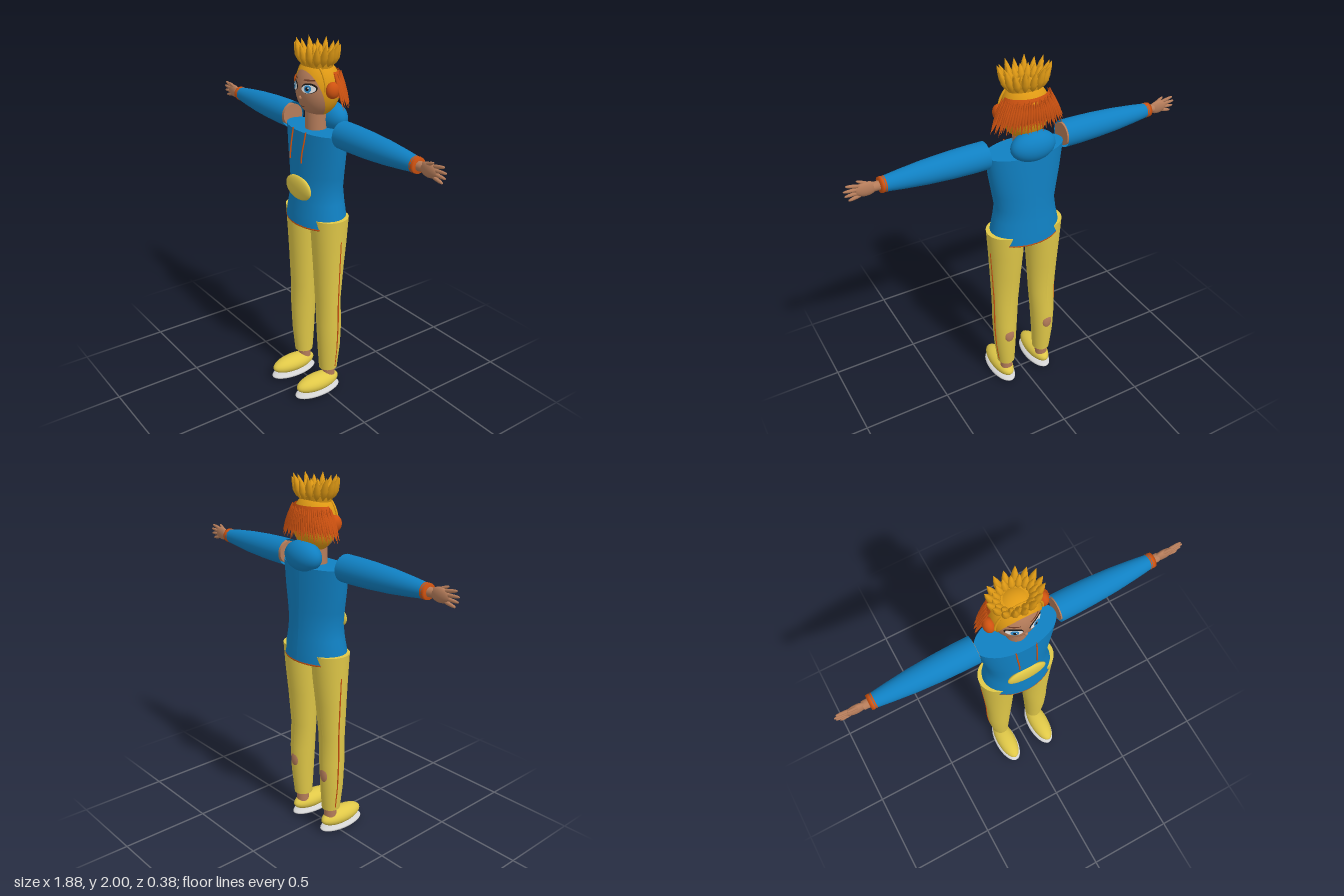
import * as THREE from 'three';

const mat = (name, color) => Object.assign(new THREE.MeshStandardMaterial({ color }), { name });
const V = (x, y, z) => new THREE.Vector3(x, y, z);
const UP = V(0, 1, 0);

export function createModel() {
  const blue = mat('hoodie blue', 0x1080c2);
  const yellow = mat('trouser yellow', 0xe0c848);
  const gold = mat('golden hair', 0xe09a14);
  const orange = mat('trim orange', 0xcf5210);
  const skin = mat('skin', 0xb57c5a);
  const white = mat('eye white', 0xf4f4f4);
  const grey = mat('sole grey', 0xd4d4d4);
  const black = mat('lash black', 0x1c1818);
  const iris = mat('iris blue', 0x2f8fd0);
  const brown = mat('brow brown', 0x6e3a24);
  const doubleOrange = orange;
  doubleOrange.side = THREE.DoubleSide;
  blue.side = THREE.DoubleSide;

  const model = new THREE.Group();
  model.name = 'figure';

  const add = (name, geo, material, pos) => {
    const m = new THREE.Mesh(geo, material);
    m.name = name;
    if (pos) m.position.copy(pos);
    model.add(m);
    return m;
  };
  const ellipsoid = (name, material, pos, rx, ry, rz) =>
    add(name, new THREE.SphereGeometry(1, 32, 20).scale(rx, ry, rz), material, pos);
  // Lathe of [radius, fraction] profile, stretched from point a to point b
  const between = (name, material, a, b, profile, sides = 8, flat = 1) => {
    const dir = b.clone().sub(a);
    const len = dir.length();
    const geo = new THREE.LatheGeometry(profile.map(([r, t]) => new THREE.Vector2(r, t * len)), sides);
    geo.scale(1, 1, flat);
    const m = add(name, geo, material, a);
    m.quaternion.setFromUnitVectors(UP, dir.normalize());
    return m;
  };
  const tube = (name, material, pts, r) =>
    add(name, new THREE.TubeGeometry(new THREE.CatmullRomCurve3(pts), 24, r, 6), material);
  // Capped elliptical loft through rings [y, cx, cz, rx, rz]
  const loft = (name, material, rings) => {
    const first = rings[0], last = rings[rings.length - 1];
    const rows = [first, first, ...rings, last, last];
    const prof = rows.map((r, i) => new THREE.Vector2(i === 0 || i === rows.length - 1 ? 0 : 1, r[0]));
    const geo = new THREE.LatheGeometry(prof, 40, Math.PI);
    const p = geo.attributes.position;
    for (let i = 0; i < p.count; i++) {
      const [, cx, cz, rx, rz] = rows[i % rows.length];
      p.setX(i, p.getX(i) * rx + cx);
      p.setZ(i, p.getZ(i) * rz + cz);
    }
    geo.computeVertexNormals();
    return add(name, geo, material);
  };

  // Hoodie body, hem, pocket, hood
  loft('hoodieBody', blue, [
    [1.045, 0, -0.035, 0.2, 0.139], [1.1, 0, -0.035, 0.193, 0.135], [1.17, 0, -0.036, 0.178, 0.127],
    [1.24, 0, -0.036, 0.168, 0.122], [1.32, 0, -0.036, 0.182, 0.119], [1.42, 0, -0.036, 0.2, 0.117],
    [1.55, 0, -0.036, 0.218, 0.113]]);
  const hem = add('hoodieHem', new THREE.TorusGeometry(1, 0.03, 6, 48).rotateX(Math.PI / 2)
    .scale(0.196, 0.2, 0.136), orange, V(0, 1.042, -0.035));
  hem.name = 'hoodieHem';
  ellipsoid('pocket', yellow, V(0, 1.243, 0.082), 0.11, 0.066, 0.022);
  ellipsoid('hood', blue, V(0, 1.6, -0.122), 0.122, 0.08, 0.07);

  // Neck and head
  add('neck', new THREE.CylinderGeometry(0.055, 0.055, 0.13, 24), skin, V(0, 1.6, -0.03));
  const H = { y: 1.76, z: -0.035, rx: 0.118, ry: 0.146, rz: 0.105 };
  ellipsoid('head', skin, V(0, H.y, H.z), H.rx, H.ry, H.rz);
  // Thin oval laid on the curved face
  const decal = (name, material, x, y, w, h, lift, tilt = 0) => {
    const geo = new THREE.CircleGeometry(1, 24).scale(w, h, 1).rotateZ(tilt).translate(x, y, 0);
    const p = geo.attributes.position;
    for (let i = 0; i < p.count; i++) {
      const q = 1 - (p.getX(i) / H.rx) ** 2 - ((p.getY(i) - H.y) / H.ry) ** 2;
      p.setZ(i, H.z + H.rz * Math.sqrt(Math.max(q, 0)) + lift);
    }
    geo.computeVertexNormals();
    return add(name, geo, material);
  };
  decal('mouth', brown, 0, 1.675, 0.016, 0.003, 0.003);
  ellipsoid('nose', skin, V(0, 1.722, 0.067), 0.009, 0.011, 0.009);

  // Hair cap: a partial ellipsoid whose opening frames the face
  add('hairCap', new THREE.SphereGeometry(1, 40, 24, 0, Math.PI * 2, 0, THREE.MathUtils.degToRad(116))
    .rotateX(-THREE.MathUtils.degToRad(65)).scale(0.126, 0.15, 0.113), gold, V(0, 1.765, -0.04));
  add('hairArch', new THREE.TorusGeometry(0.124, 0.006, 8, 40, Math.PI).scale(1, 1.1, 1), gold, V(0, 1.765, 0));

  // Crown of pointed tufts
  add('crownBase', new THREE.CylinderGeometry(0.098, 0.09, 0.03, 32).scale(1, 1, 0.8), gold, V(0, 1.885, -0.037));
  const petal = [[0, 0], [0.014, 0.2], [0.019, 0.45], [0.011, 0.75], [0, 1]];
  for (let ring = 0; ring < 2; ring++) {
    for (let i = 0; i < 16; i++) {
      const a = ((i + ring / 2) / 16) * Math.PI * 2, c = Math.cos(a), s = Math.sin(a);
      const rb = ring ? 0.07 : 0.088, rt = ring ? 0.105 : 0.138;
      const top = ring ? 1.965 : 1.985 + 0.013 * (i % 2);
      between('crownTuft', gold, V(c * rb, 1.875, -0.037 + s * rb * 0.8),
        V(c * rt, top, -0.037 + s * rt * 0.75), petal, 8);
    }
  }

  // Orange back hair: a curved sheet with a fringe of strands
  const sheet = [[0.115, 1.855], [0.132, 1.82], [0.14, 1.77], [0.152, 1.735]];
  add('backHairSheet', new THREE.LatheGeometry(sheet.map(([r, y]) => new THREE.Vector2(r, y)).reverse(),
    32, Math.PI / 2, Math.PI).scale(1, 1, 0.72), orange, V(0, 0, -0.05));
  const strand = [[0.003, 0], [0.009, 0.3], [0.008, 0.6], [0, 1]];
  for (let i = 0; i <= 36; i++) {
    const a = (i / 36) * Math.PI, c = Math.cos(a), s = Math.sin(a), j = (i * 7) % 5;
    between('backHairStrand', orange, V(c * 0.128, 1.85 - 0.004 * j, -0.05 - s * 0.095),
      V(c * 0.2, 1.678 + 0.007 * j, -0.056 - s * 0.108), strand, 6);
  }

  const legRings = [
    [0.15, 0.12, -0.033, 0.05, 0.053], [0.3, 0.125, -0.033, 0.063, 0.065], [0.45, 0.124, -0.032, 0.071, 0.07],
    [0.6, 0.118, -0.028, 0.077, 0.067], [0.8, 0.115, -0.032, 0.088, 0.081], [0.95, 0.113, -0.036, 0.097, 0.094],
    [1.09, 0.113, -0.037, 0.105, 0.103]];
  const armY = 1.565, armZ = -0.037;

  for (const s of [1, -1]) {
    const side = s > 0 ? 'left' : 'right';

    // Face details and ear pad
    const ex = s * 0.055;
    decal(side + 'EyeOutline', black, ex, 1.778, 0.04, 0.026, 0.002, s * 0.1);
    decal(side + 'EyeWhite', white, ex, 1.775, 0.036, 0.021, 0.004, s * 0.1);
    decal(side + 'Iris', iris, ex, 1.776, 0.018, 0.019, 0.006);
    decal(side + 'Pupil', black, ex, 1.776, 0.009, 0.01, 0.008);
    decal(side + 'Glint', white, ex + 0.006, 1.782, 0.004, 0.004, 0.0095);
    decal(side + 'Brow', brown, ex, 1.817, 0.032, 0.004, 0.003, s * 0.06);
    ellipsoid(side + 'EarPad', orange, V(s * 0.138, 1.772, -0.032), 0.03, 0.042, 0.038);

    // Drawstring
    tube(side + 'Drawstring', orange, [V(s * 0.055, 1.555, 0.073), V(s * 0.054, 1.5, 0.084),
      V(s * 0.05, 1.44, 0.095), V(s * 0.05, 1.395, 0.098)], 0.004);

    // Sleeve, arm inside it and cuff
    const at = (x, dy = 0, dz = 0) => V(s * x, armY + dy, armZ + dz);
    between(side + 'Sleeve', blue, at(0.22), at(0.76),
      [[0.071, 0], [0.071, 0.15], [0.068, 0.35], [0.06, 0.6], [0.048, 0.82], [0.036, 1]], 32);
    between(side + 'Arm', skin, at(0.217), at(0.8),
      [[0, 0], [0.06, 0], [0.06, 0], [0.04, 0.6], [0.024, 0.93], [0.022, 1]], 24);
    between(side + 'Cuff', orange, at(0.738), at(0.77),
      [[0.036, 0], [0.04, 0.15], [0.037, 0.35], [0.04, 0.6], [0.038, 1], [0, 1]], 24);

    // Hand with four fingers and a thumb
    ellipsoid(side + 'Palm', skin, at(0.833), 0.055, 0.036, 0.018);
    const finger = [[0.008, 0], [0.0095, 0.3], [0.008, 0.7], [0.005, 0.93], [0, 1]];
    for (let i = 0; i < 4; i++) {
      const o = (i - 1.5) * 0.016;
      between(side + 'Finger', skin, at(0.86, o), at([0.922, 0.938, 0.942, 0.928][i], o * 1.6), finger);
    }
    between(side + 'Thumb', skin, at(0.81, 0.018), at(0.872, 0.046, 0.012), finger);

    // Trouser leg, side stripe and calf patch
    loft(side + 'TrouserLeg', yellow, legRings.map(([y, cx, ...r]) => [y, s * cx, ...r]));
    tube(side + 'SideStripe', orange, legRings.slice(0, 6).map(([y, cx, , rx]) =>
      V(s * (cx + rx - 0.001), y + 0.02, -0.045)), 0.004);
    const patch = ellipsoid(side + 'CalfPatch', skin, V(s * 0.125, 0.38, -0.09), 0.03, 0.05, 0.0145);
    patch.rotation.x = 0.03;

    // Ankle, shoe and sole
    add(side + 'Ankle', new THREE.CylinderGeometry(0.036, 0.036, 0.1, 20), skin, V(s * 0.12, 0.12, -0.037));
    ellipsoid(side + 'Shoe', yellow, V(s * 0.122, 0.073, 0.042), 0.058, 0.05, 0.14);
    ellipsoid(side + 'Sole', grey, V(s * 0.121, 0.022, 0.043), 0.067, 0.022, 0.147);
  }
  return model;
}
